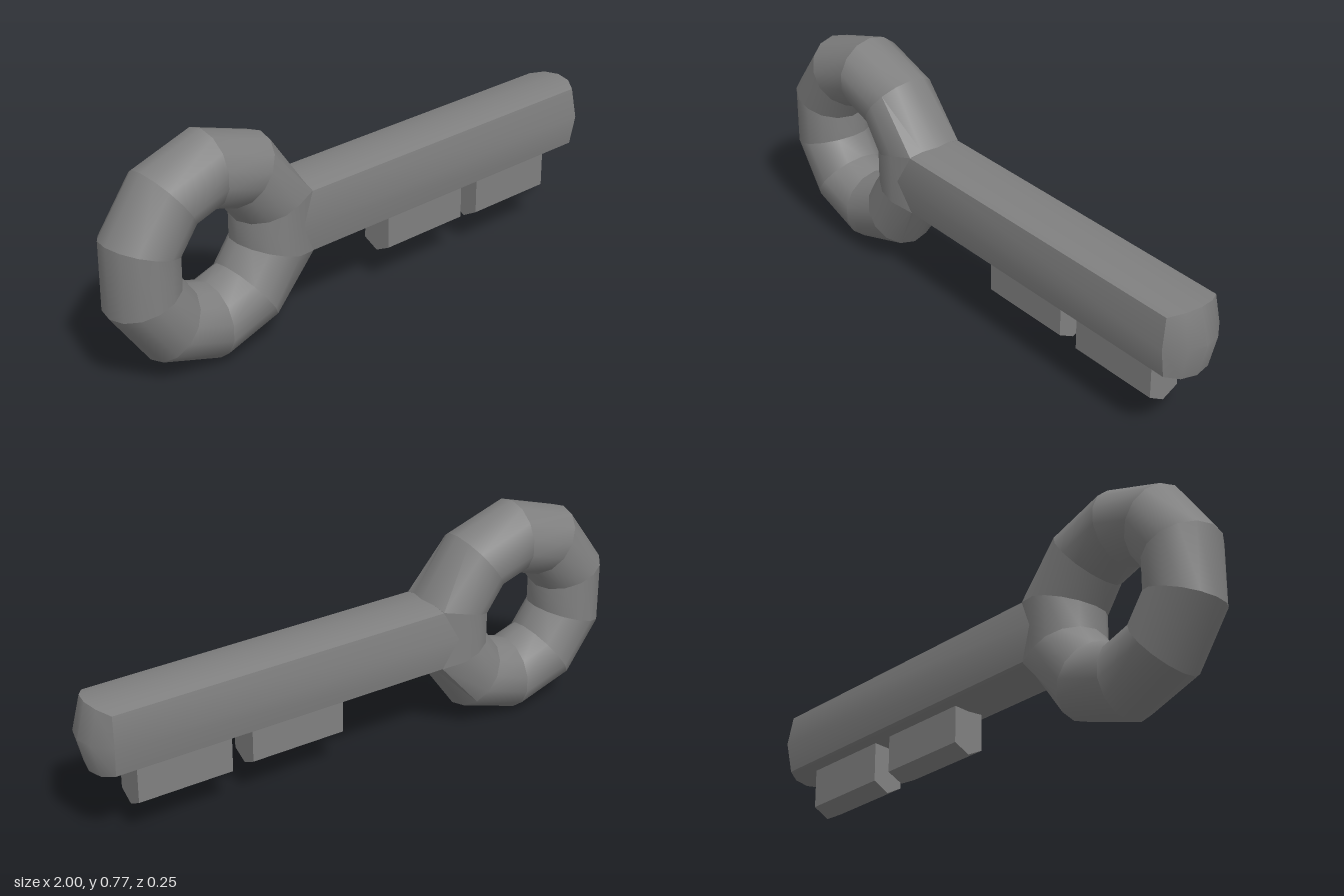
import * as THREE from 'three';
import { mergeGeometries, toCreasedNormals } from 'three/addons/utils/BufferGeometryUtils.js';

const material = new THREE.MeshStandardMaterial({ color: 0x808080 });
const CENTER_Y = 0.385;

const crease = (geometry, degrees) =>
  toCreasedNormals(geometry, THREE.MathUtils.degToRad(degrees));

function addPart(group, name, geometry) {
  const mesh = new THREE.Mesh(geometry, material);
  mesh.name = name;
  group.add(mesh);
  return mesh;
}

// Ten straight ring segments, each smooth around the tube with a crisp seam between them
function bowGeometry() {
  const segments = [];
  const step = Math.PI / 5;
  for (let i = 0; i < 10; i++) {
    const segment = new THREE.TorusGeometry(0.257, 0.128, 14, 1, step).rotateZ((i - 0.5) * step);
    // Square up the corners where the shaft leaves the ring
    const p = segment.attributes.position;
    for (let v = 0; v < p.count; v++) {
      if (p.getX(v) > 0.3 && Math.abs(p.getZ(v)) > 0.09) p.setX(v, 0.347);
    }
    segments.push(crease(segment, 35));
  }
  return mergeGeometries(segments);
}

// Bar with a slightly domed section and a rounded end, open where it enters the bow
function shaftGeometry() {
  const startX = -0.36;
  // Columns run from +z to -z: [z at top and bottom rows, z at middle row, half height, edge x, middle x]
  const half = [[0.1, 0.117, 0.103, 0.926, 0.932], [0.056, 0.06, 0.115, 0.955, 0.983]];
  const columns = [
    ...half,
    [0, 0, 0.119, 0.966, 0.998],
    ...half.map(([z, zm, ...rest]) => [-z, -zm, ...rest]).reverse(),
  ];
  const rows = [
    columns.map(([z, , h, x]) => [x, CENTER_Y + h, z]),
    columns.map(([, zm, , , xm]) => [xm, CENTER_Y, zm]),
    columns.map(([z, , h, x]) => [x, CENTER_Y - h, z]),
  ];
  const positions = [];
  const quad = (a, b, c, d) => positions.push(...a, ...b, ...c, ...a, ...c, ...d);

  // Rounded end
  for (let r = 0; r < 2; r++) {
    for (let c = 0; c < 4; c++) {
      quad(rows[r][c], rows[r + 1][c], rows[r + 1][c + 1], rows[r][c + 1]);
    }
  }
  // Long sides swept back from the rim
  const rim = [...rows[0].slice().reverse(), rows[1][0], ...rows[2], rows[1][4]];
  const back = ([, y, z]) => [startX, y, z];
  rim.forEach((p, i) => {
    const q = rim[(i + 1) % rim.length];
    quad(back(p), back(q), q, p);
  });

  const geometry = new THREE.BufferGeometry();
  geometry.setAttribute('position', new THREE.Float32BufferAttribute(positions, 3));
  return crease(geometry, 40);
}

// Block with a shallow V-shaped underside
function toothGeometry(x0, x1, edgeY, tipY) {
  const shape = new THREE.Shape([
    [-0.056, 0.3], [-0.056, edgeY], [0, tipY], [0.056, edgeY], [0.056, 0.3],
  ].map(([z, y]) => new THREE.Vector2(z, y)));
  const geometry = new THREE.ExtrudeGeometry(shape, { depth: x1 - x0, bevelEnabled: false })
    .rotateY(Math.PI / 2)
    .translate(x0, 0, 0);
  return crease(geometry, 20);
}

export function createModel() {
  const key = new THREE.Group();
  key.name = 'key';

  // Ring handle
  addPart(key, 'bow', bowGeometry()).position.set(-0.634, CENTER_Y, 0);

  addPart(key, 'shaft', shaftGeometry());

  // Teeth under the shaft
  addPart(key, 'innerTooth', toothGeometry(0.082, 0.424, 0.143, 0.115));
  addPart(key, 'outerTooth', toothGeometry(0.499, 0.834, 0.134, 0.103));

  return key;
}
